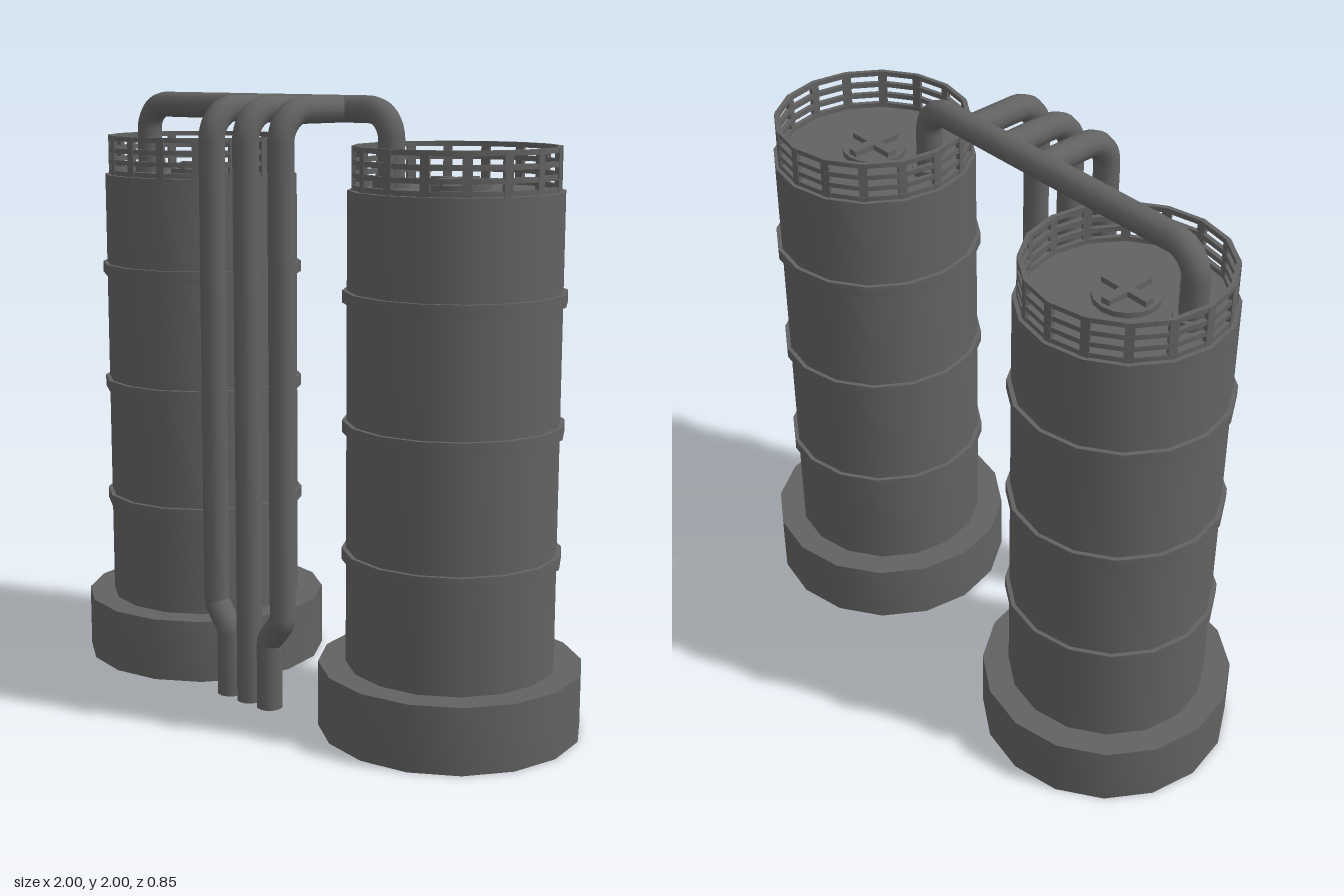
import * as THREE from 'three';
import { toCreasedNormals } from 'three/addons/utils/BufferGeometryUtils.js';

const SIDES = 16;
const PIPE_R = 0.043;
const material = new THREE.MeshStandardMaterial({ color: 0x626262, side: THREE.DoubleSide });

function add(parent, name, geometry, x = 0, y = 0, z = 0) {
  const mesh = new THREE.Mesh(geometry, material);
  mesh.name = name;
  mesh.position.set(x, y, z);
  parent.add(mesh);
  return mesh;
}

// Revolved profile with smooth sides and sharp rims
function revolve(points) {
  const profile = points.map(([r, y]) => new THREE.Vector2(r, y));
  return toCreasedNormals(new THREE.LatheGeometry(profile, SIDES), 0.6);
}

// Ring with a rectangular section
function ring(rIn, rOut, y0, y1) {
  return revolve([[rIn, y0], [rOut, y0], [rOut, y1], [rIn, y1], [rIn, y0]]);
}

// Pipe through corner points, each corner rounded by the given radius
function pipe(corners, bends, segments) {
  const pts = corners.map((c) => new THREE.Vector3(...c));
  const path = new THREE.CurvePath();
  path.arcLengthDivisions = 1000;
  let start = pts[0];
  for (let i = 1; i < pts.length - 1; i++) {
    const p = pts[i];
    const a = p.clone().add(pts[i - 1].clone().sub(p).setLength(bends[i - 1]));
    const b = p.clone().add(pts[i + 1].clone().sub(p).setLength(bends[i - 1]));
    // Handles close to a circular arc
    const ha = a.clone().lerp(p, 0.55);
    const hb = b.clone().lerp(p, 0.55);
    path.add(new THREE.LineCurve3(start, a));
    path.add(new THREE.CubicBezierCurve3(a, ha, hb, b));
    start = b;
  }
  path.add(new THREE.LineCurve3(start, pts[pts.length - 1]));
  return new THREE.TubeGeometry(path, segments, PIPE_R, 12, false);
}

function createTank() {
  const tank = new THREE.Group();
  tank.name = 'tank';

  // Hollow base with a ledge, and the body standing on it
  add(tank, 'base', revolve([[0.4225, 0], [0.4225, 0.215], [0.334, 0.215]]));
  add(tank, 'body', revolve([[0.334, 0.215], [0.334, 1.715], [0, 1.715]]));
  for (const y of [0.572, 0.983, 1.39]) {
    add(tank, 'band', ring(0.325, 0.348, y - 0.019, y + 0.019));
  }

  // Railing around the top
  const railing = new THREE.Group();
  railing.name = 'railing';
  tank.add(railing);
  for (const y of [1.841, 1.8, 1.761, 1.724]) {
    add(railing, 'rail', ring(0.306, 0.321, y - 0.008, y + 0.008));
  }
  const post = new THREE.BoxGeometry(0.028, 0.133, 0.014);
  for (let i = 0; i < SIDES; i++) {
    const a = (i / SIDES) * Math.PI * 2;
    add(railing, 'post', post, 0.313 * Math.sin(a), 1.7815, 0.313 * Math.cos(a)).rotation.y = a;
  }

  // Hatch with a cross-shaped handle
  add(tank, 'hatch', new THREE.CylinderGeometry(0.105, 0.105, 0.02, SIDES), 0, 1.724, 0);
  add(tank, 'hatchHandle', new THREE.BoxGeometry(0.18, 0.02, 0.032), 0, 1.743, 0);
  add(tank, 'hatchHandle', new THREE.BoxGeometry(0.032, 0.02, 0.18), 0, 1.743, 0);
  return tank;
}

export function createModel() {
  const model = new THREE.Group();
  model.name = 'twinTanks';

  for (const x of [-0.5775, 0.5775]) {
    const tank = createTank();
    tank.position.x = x;
    model.add(tank);
  }

  // Pipe joining both tank tops
  const z = 0.054, top = 1.952, ends = [-0.785, 0.359];
  add(model, 'bridgePipe', pipe(
    [[ends[0], 1.71, z], [ends[0], top, z], [ends[1], top, z], [ends[1], 1.71, z]],
    [0.09, 0.09], 100));
  for (const x of ends) {
    add(model, 'pipeCollar', new THREE.CylinderGeometry(0.06, 0.06, 0.03, 12), x, 1.727, z);
  }

  // Three downpipes, the outer two stepping inwards near the ground
  const front = 0.335;
  for (const side of [-1, 0, 1]) {
    const x = side * 0.156, foot = side * 0.094;
    const start = [[x, top, z], [x, top, front]];
    const end = [foot, 0.022, front];
    const corners = side
      ? [...start, [x, 0.326, front], [foot, 0.248, front], end]
      : [...start, end];
    add(model, 'downpipe', pipe(corners, [0.1, 0.012, 0.012], 300));
    add(model, 'downpipeEnd', new THREE.CircleGeometry(PIPE_R, 12), ...end).rotation.x = Math.PI / 2;
  }
  return model;
}
